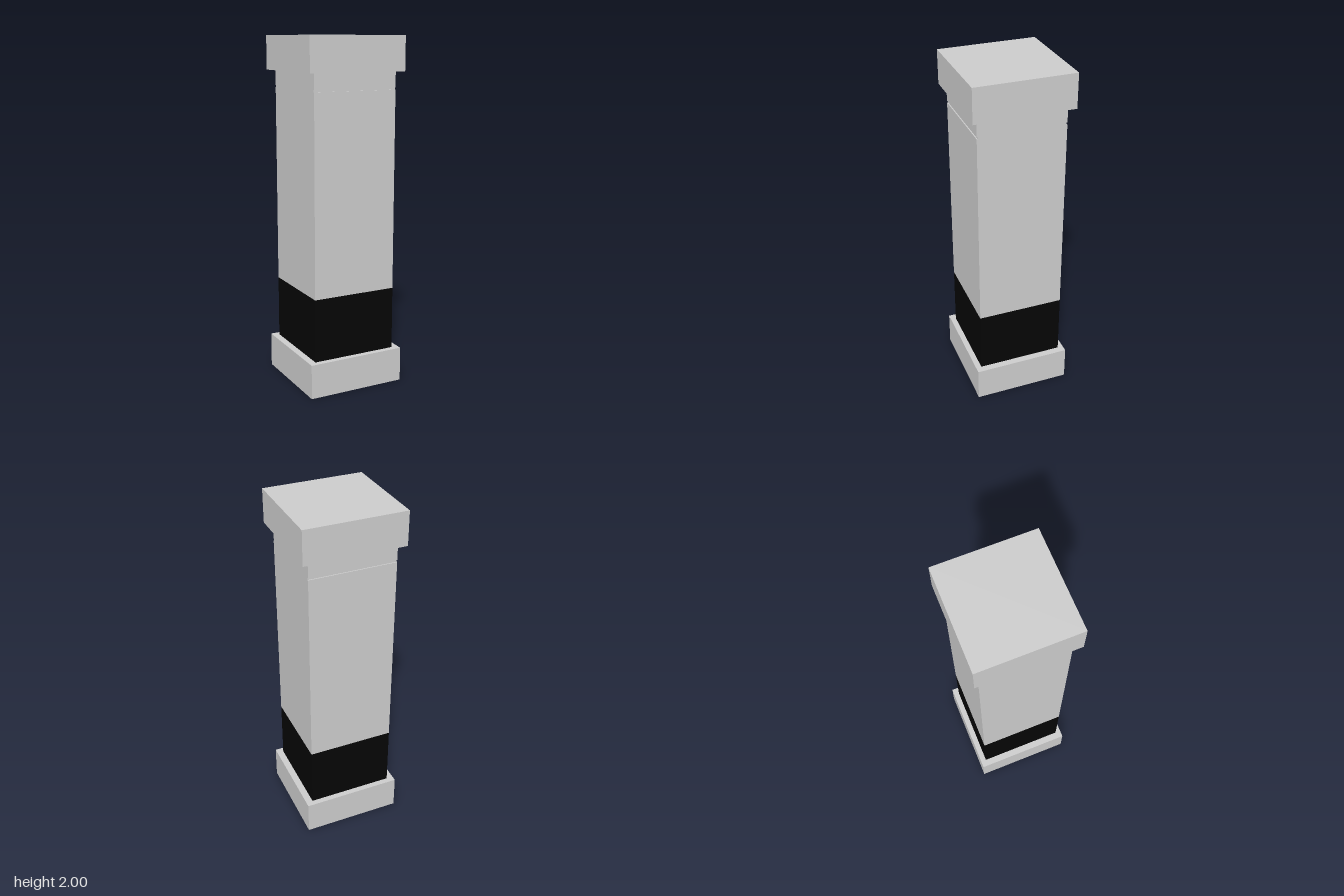
import * as THREE from 'three';

const grey = new THREE.MeshStandardMaterial({ color: 0xcccccc, flatShading: true });
const black = new THREE.MeshStandardMaterial({ color: 0x050505, flatShading: true });

// Box standing between two heights
function block(name, width, depth, y0, y1, material) {
  const mesh = new THREE.Mesh(new THREE.BoxGeometry(width, y1 - y0, depth), material);
  mesh.position.y = (y0 + y1) / 2;
  mesh.name = name;
  return mesh;
}

export function createModel() {
  const group = new THREE.Group();
  group.name = 'pillar';

  const baseTop = 0.2, bandTop = 0.565, capBottom = 1.805;
  const width = 0.5, half = 0.25, grooveDepth = 0.006;
  const grooveLow = 1.705, grooveHigh = 1.717;

  // Square plinth and matching cap
  group.add(block('base', 0.58, 0.566, 0, baseTop, grey));
  group.add(block('cap', 0.58, 0.566, capBottom, 2, grey));

  // Dark band around the foot of the shaft
  group.add(block('band', width, width, baseTop, bandTop, black));

  // Shaft: side profile with a shallow groove on front and back, extruded across x
  const side = [
    [half, bandTop], [half, grooveLow], [half - grooveDepth, grooveLow],
    [half - grooveDepth, grooveHigh], [half, grooveHigh], [half, capBottom],
  ];
  const mirrored = side.map(([z, y]) => [-z, y]).reverse();
  const profile = new THREE.Shape([...side, ...mirrored].map(([z, y]) => new THREE.Vector2(z, y)));
  const geometry = new THREE.ExtrudeGeometry(profile, { depth: width, bevelEnabled: false });
  geometry.translate(0, 0, -width / 2);
  geometry.rotateY(Math.PI / 2);
  const shaft = new THREE.Mesh(geometry, grey);
  shaft.name = 'shaft';
  group.add(shaft);

  return group;
}
